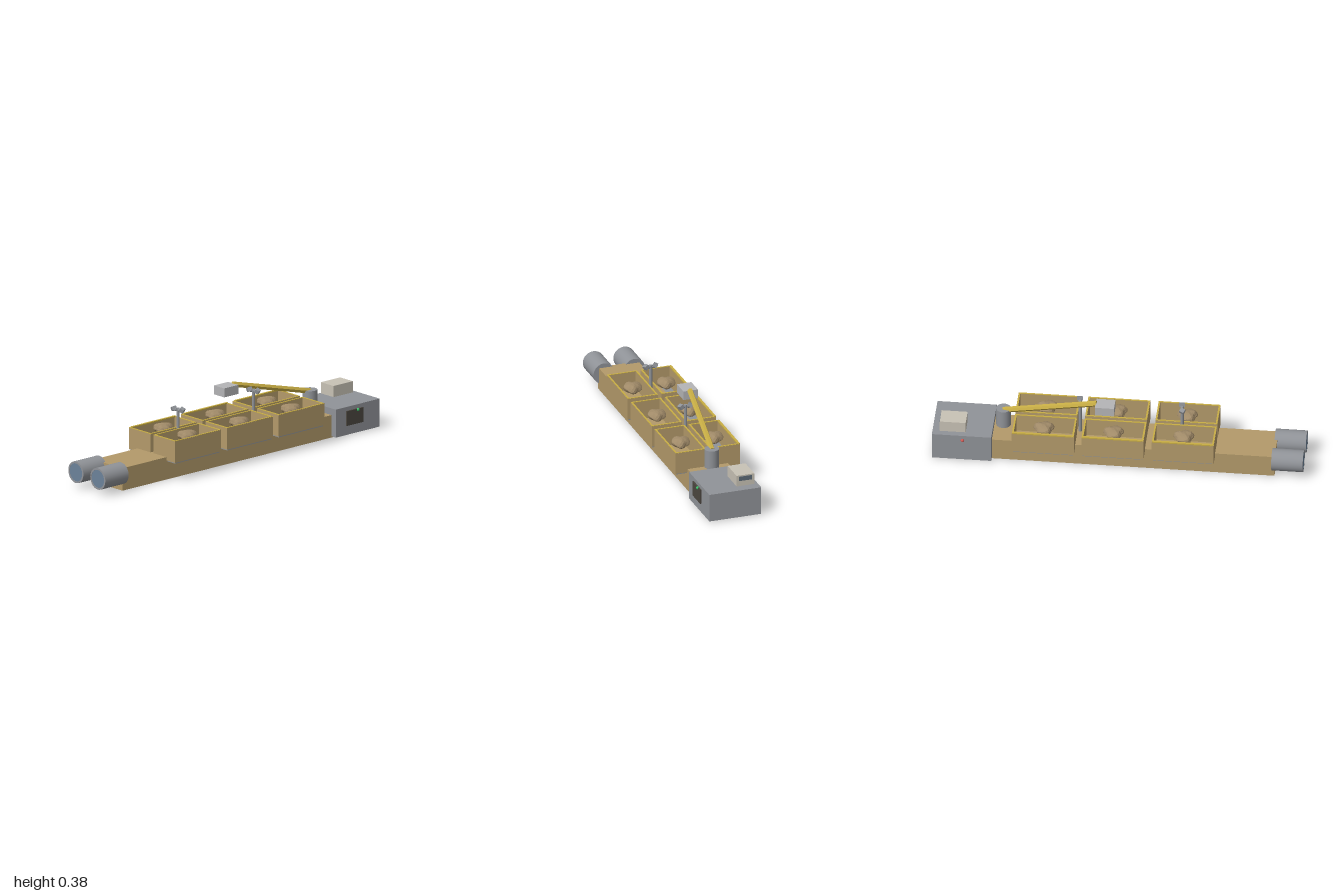
import * as THREE from 'three';
import { mergeVertices } from 'three/addons/utils/BufferGeometryUtils.js';

const mat = (color, extra = {}) => {
  const m = new THREE.MeshStandardMaterial({ color });
  return Object.assign(m, extra);
};
const M = {
  tan: mat(0xb39a6a), grey: mat(0x909398), dark: mat(0x4c4740), yellow: mat(0xc9ae45),
  beige: mat(0xc8c2b5), pale: mat(0xb4b4b6), glass: mat(0x6c8299), screen: mat(0x5d6b78),
  green: mat(0x3fbf6a), red: mat(0xcf5a55), lump: mat(0xa08a68, { flatShading: true }),
  armYellow: mat(0xc9ae45, { flatShading: true }),
};

function add(parent, name, geo, material, x = 0, y = 0, z = 0) {
  const mesh = new THREE.Mesh(geo, material);
  mesh.name = name;
  mesh.position.set(x, y, z);
  parent.add(mesh);
  return mesh;
}

// Box given by its min and max corners
function span(parent, name, material, [x0, x1], [y0, y1], [z0, z1]) {
  const geo = new THREE.BoxGeometry(x1 - x0, y1 - y0, z1 - z0);
  return add(parent, name, geo, material, (x0 + x1) / 2, (y0 + y1) / 2, (z0 + z1) / 2);
}

// Rectangular frame standing on y = 0, open top and bottom
function frame(w, d, t, h) {
  const rect = (T, a, b) => new T([
    new THREE.Vector2(-a, -b), new THREE.Vector2(a, -b), new THREE.Vector2(a, b), new THREE.Vector2(-a, b)]);
  const shape = rect(THREE.Shape, w / 2, d / 2);
  shape.holes.push(rect(THREE.Path, w / 2 - t, d / 2 - t));
  return new THREE.ExtrudeGeometry(shape, { depth: h, bevelEnabled: false }).rotateX(-Math.PI / 2);
}

// Lumpy flattened ball
function lumpGeometry() {
  const ball = new THREE.IcosahedronGeometry(1, 3);
  ball.deleteAttribute('uv');
  ball.deleteAttribute('normal');
  const geo = mergeVertices(ball);
  const p = geo.attributes.position, v = new THREE.Vector3();
  for (let i = 0; i < p.count; i++) {
    v.fromBufferAttribute(p, i);
    const a = Math.atan2(v.z, v.x), s = Math.hypot(v.x, v.z);
    const r = 1 + s * (0.1 * Math.sin(3 * a + 0.8) + 0.07 * Math.sin(5 * a)) + 0.04 * Math.sin(6 * v.y + 4 * v.x);
    p.setXYZ(i, v.x * r * 0.052, v.y * r * 0.028, v.z * r * 0.05);
  }
  geo.computeVertexNormals();
  return geo;
}

export function createModel() {
  const model = new THREE.Group();
  model.name = 'hydroponicBarge';

  span(model, 'hull', M.tan, [-0.845, 0.72], [0, 0.125], [-0.115, 0.115]);

  // Twin thrusters with glass end discs
  const shell = new THREE.LatheGeometry([
    [0, 0.085], [0.06, 0.085], [0.06, 0.085], [0.06, -0.085], [0.06, -0.085],
    [0.05, -0.085], [0.05, -0.085], [0.05, -0.079], [0, -0.079],
  ].reverse().map(([r, y]) => new THREE.Vector2(r, y)), 28).rotateZ(-Math.PI / 2);
  const disc = new THREE.CylinderGeometry(0.05, 0.05, 0.005, 28).rotateZ(Math.PI / 2);
  for (const side of [-1, 1]) {
    const thruster = new THREE.Group();
    thruster.name = side > 0 ? 'leftThruster' : 'rightThruster';
    thruster.position.set(-0.915, 0.09, side * 0.087);
    add(thruster, 'thrusterShell', shell, M.grey);
    add(thruster, 'thrusterGlass', disc, M.glass, -0.081);
    model.add(thruster);
  }

  // Open trays in two rows, each with a lump inside
  const walls = frame(0.335, 0.173, 0.01, 0.119);
  const rim = frame(0.333, 0.171, 0.009, 0.003);
  const floor = new THREE.BoxGeometry(0.323, 0.01, 0.162);
  const lump = lumpGeometry();
  for (const x of [-0.357, 0.022, 0.398]) {
    for (const side of [-1, 1]) {
      const tray = new THREE.Group();
      tray.name = 'tray';
      tray.position.set(x, 0, side * 0.097);
      add(tray, 'trayWalls', walls, M.tan, 0, 0.107, 0);
      add(tray, 'trayRim', rim, M.yellow, 0, 0.2255, 0);
      add(tray, 'trayFloor', floor, M.grey, 0, 0.105, 0);
      add(tray, 'lump', lump, M.lump, 0.002, 0.21, side < 0 ? 0.002 : -0.002);
      model.add(tray);
    }
  }
  for (const x of [-0.357, 0.022, 0.398])
    span(model, 'backRail', M.yellow, [x - 0.155, x + 0.165], [0.224, 0.231], [-0.184, -0.171]);

  // Sensor posts with a pair of tilted heads
  for (const x of [-0.335, 0.215]) {
    const post = new THREE.Group();
    post.name = 'sensorPost';
    post.position.set(x, 0, 0);
    add(post, 'mast', new THREE.CylinderGeometry(0.009, 0.009, 0.203, 12), M.grey, 0, 0.2365, 0);
    for (const side of [-1, 1]) {
      const head = add(post, 'sensorHead', new THREE.BoxGeometry(0.026, 0.022, 0.024), M.grey, side * 0.004, 0.331, side * 0.028);
      head.rotation.set(side * 0.5, side * 0.4, 0);
      const neck = add(post, 'sensorNeck', new THREE.CylinderGeometry(0.009, 0.009, 0.016, 10).rotateX(Math.PI / 2), M.grey, 0, 0.327, side * 0.014);
      neck.rotation.x = side * 0.3;
    }
    model.add(post);
  }

  // Crane: pedestal, sloping boom and gripper
  add(model, 'cranePedestal', new THREE.CylinderGeometry(0.04, 0.04, 0.105, 24), M.grey, 0.628, 0.2025, 0);
  const from = new THREE.Vector3(0.63, 0.245, -0.003), to = new THREE.Vector3(0.12, 0.37, -0.06);
  const dir = to.clone().sub(from);
  const boom = add(model, 'craneBoom', new THREE.CylinderGeometry(0.016, 0.016, dir.length(), 6), M.armYellow);
  boom.position.copy(from).lerp(to, 0.5);
  boom.quaternion.setFromUnitVectors(new THREE.Vector3(0, 1, 0), dir.normalize());
  span(model, 'craneGripper', M.pale, [0.022, 0.125], [0.323, 0.373], [-0.103, -0.021]);

  // Control cabin with screen, lamps and console
  span(model, 'controlCabin', M.grey, [0.68, 1], [0.006, 0.162], [-0.148, 0.148]);
  span(model, 'cabinPanel', M.dark, [0.755, 0.875], [0.058, 0.14], [0.146, 0.156]);
  const lamp = new THREE.SphereGeometry(0.009, 16, 12);
  add(model, 'greenLamp', lamp, M.green, 0.835, 0.135, 0.155);
  add(model, 'redLamp', lamp, M.red, 0.835, 0.135, -0.152);
  span(model, 'console', M.beige, [0.82, 0.96], [0.169, 0.231], [-0.123, -0.022]);
  span(model, 'consoleScreen', M.screen, [0.955, 0.962], [0.199, 0.224], [-0.109, -0.036]);

  return model;
}
